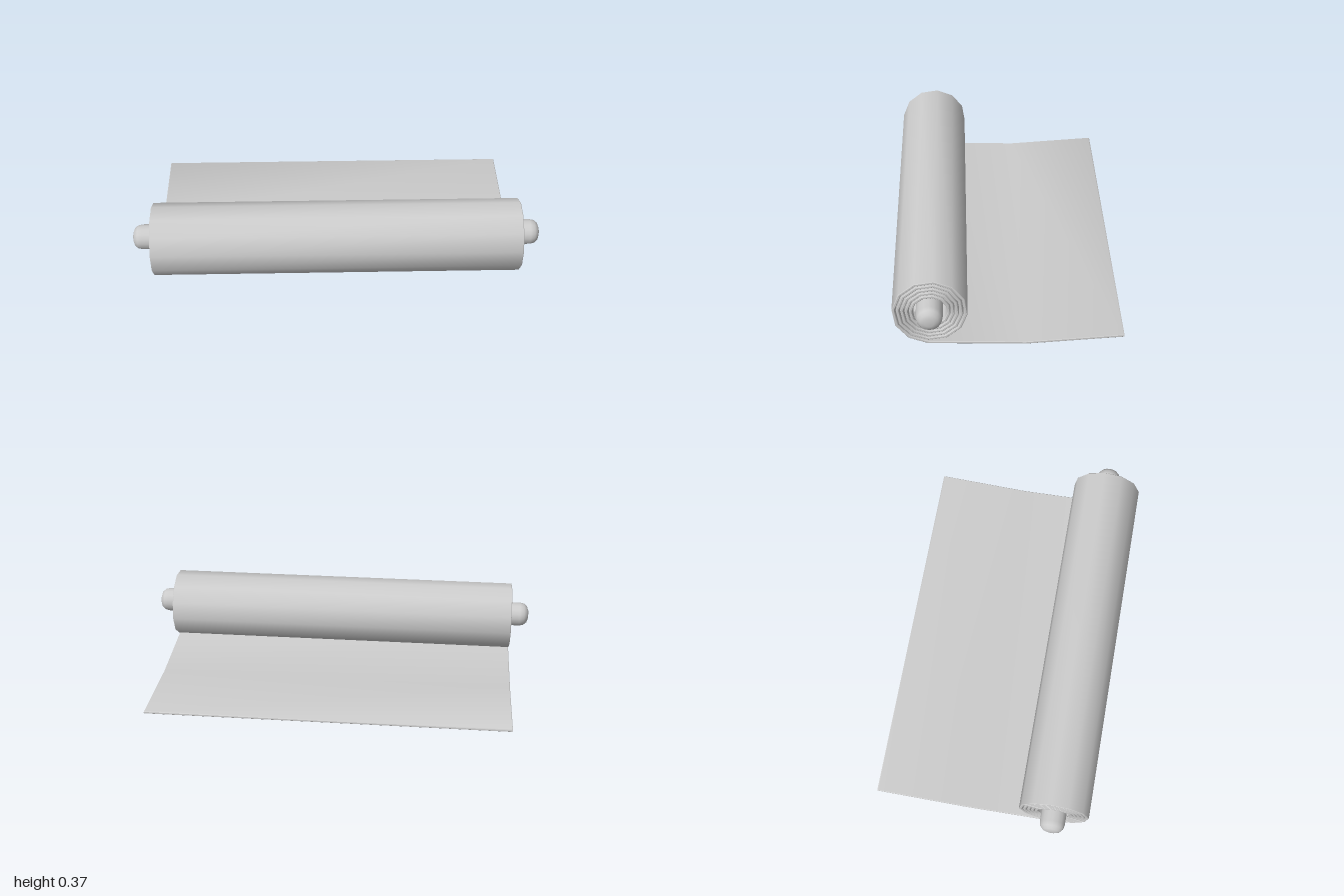
import * as THREE from 'three';
import { toCreasedNormals } from 'three/addons/utils/BufferGeometryUtils.js';

const HALF_WIDTH = 0.905, HALF_THICK = 0.0068, BEVEL = 0.003;

// Centre line of the sheet as (z, y): the free end, then a spiral winding inwards
function sheetPath() {
  const path = [new THREE.Vector2(-0.54, 0.036), new THREE.Vector2(-0.535, 0.0357), new THREE.Vector2(-0.08, 0.0068)];
  const sides = 12, turns = 5.25, pitch = 0.02;
  for (let i = 0; i <= sides * turns; i++) {
    const a = THREE.MathUtils.degToRad(5.5 + (i * 360) / sides);
    const r = 0.178 - (pitch * i) / sides;
    path.push(new THREE.Vector2(0.36 + r * Math.sin(a), 0.2 - r * Math.cos(a)));
  }
  return path;
}

// Sweep a thin bevelled rectangle along the path, with mitred corners
function sweepSheet(path) {
  const w = HALF_WIDTH, t = HALF_THICK, b = BEVEL;
  const section = [[w, -t + b], [w, t - b], [w - b, t], [-w + b, t], [-w, t - b], [-w, -t + b], [-w + b, -t], [w - b, -t]];
  const n = section.length, last = path.length - 1;
  const positions = [], index = [];
  path.forEach((p, i) => {
    const before = p.clone().sub(path[Math.max(i - 1, 0)]).normalize();
    const after = path[Math.min(i + 1, last)].clone().sub(p).normalize();
    const dir = before.clone().add(after).normalize();
    const ends = i === 0 || i === last;
    const mitre = ends ? 1 : 1 / dir.dot(after);
    const thin = i === 0 ? 0.5 : 1; // rounded free end
    for (const [x, o] of section) {
      positions.push(x, p.y + dir.x * o * mitre * thin, p.x - dir.y * o * mitre * thin);
    }
  });
  for (let i = 0; i < last; i++) {
    for (let j = 0; j < n; j++) {
      const a = i * n + j, c = i * n + ((j + 1) % n);
      index.push(a, c, c + n, a, c + n, a + n);
    }
  }
  for (let j = 1; j < n - 1; j++) {
    index.push(0, j + 1, j);
    index.push(last * n, last * n + j, last * n + j + 1);
  }
  const geometry = new THREE.BufferGeometry();
  geometry.setAttribute('position', new THREE.Float32BufferAttribute(positions, 3));
  geometry.setIndex(index);
  return toCreasedNormals(geometry, 0.7);
}

export function createModel() {
  const group = new THREE.Group();
  group.name = 'rolledSheet';
  const material = new THREE.MeshStandardMaterial({ color: 0xcccccc });

  // Sheet, partly unrolled
  const sheet = new THREE.Mesh(sweepSheet(sheetPath()), material);
  sheet.name = 'sheet';
  group.add(sheet);

  // Rod through the roll, with rounded ends
  const end = [[0, 1], [0.022, 1], [0.043, 0.993], [0.057, 0.977], [0.062, 0.955]];
  const profile = [
    ...end.map(([r, y]) => new THREE.Vector2(r, -y)),
    ...end.slice().reverse().map(([r, y]) => new THREE.Vector2(r, y)),
  ];
  const rod = new THREE.Mesh(new THREE.LatheGeometry(profile, 16), material);
  rod.name = 'rod';
  rod.rotation.z = -Math.PI / 2;
  rod.position.set(0, 0.213, 0.366);
  group.add(rod);

  return group;
}
